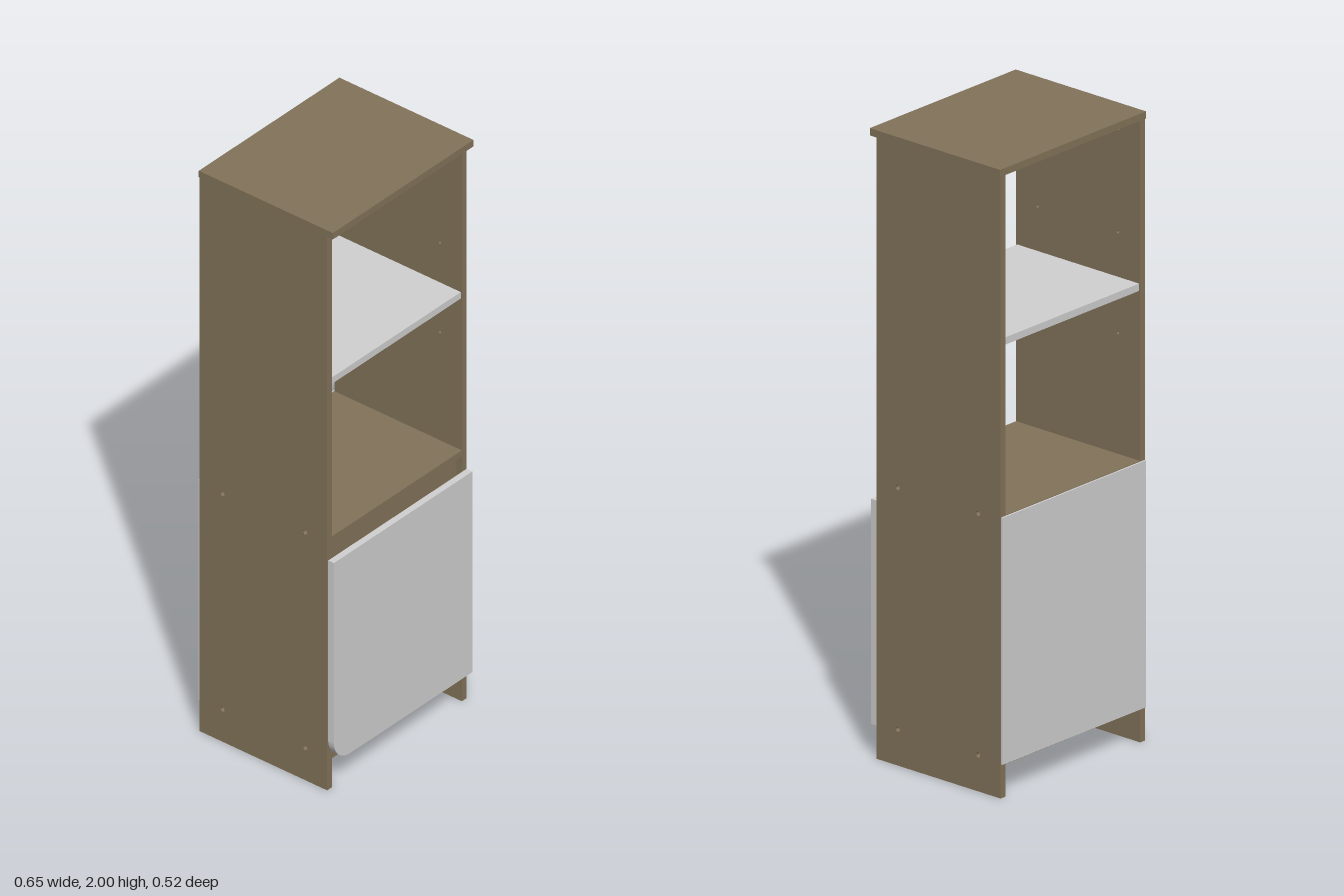
import * as THREE from 'three';

const wood = new THREE.MeshStandardMaterial({ color: 0x83745a });
wood.name = 'brown wood';
const grey = new THREE.MeshStandardMaterial({ color: 0xd0d0d0 });
grey.name = 'light grey';

const INNER = 0.3, OUTER = 0.322, BACK = -0.256, FRONT = 0.238, TOP = 1.977;

export function createModel() {
  const group = new THREE.Group();
  group.name = 'cabinet';

  const add = (name, geometry, material) => {
    const mesh = new THREE.Mesh(geometry, material);
    mesh.name = name;
    group.add(mesh);
  };

  // Board given by its limits on each axis
  const board = (name, material, [x0, x1], [y0, y1], [z0, z1]) => {
    const g = new THREE.BoxGeometry(x1 - x0, y1 - y0, z1 - z0);
    g.translate((x0 + x1) / 2, (y0 + y1) / 2, (z0 + z1) / 2);
    add(name, g, material);
  };

  // Side panel layer between two x limits, drilled with [z, y, radius] holes
  const drilled = (name, x0, x1, holes) => {
    const s = new THREE.Shape();
    s.moveTo(BACK, 0).lineTo(FRONT, 0).lineTo(FRONT, TOP).lineTo(BACK, TOP).closePath();
    for (const [z, y, r] of holes) {
      s.holes.push(new THREE.Path().absarc(z, y, r, 0, Math.PI * 2, true));
    }
    const g = new THREE.ExtrudeGeometry(s, { depth: x1 - x0, bevelEnabled: false, curveSegments: 8 });
    g.rotateY(-Math.PI / 2).translate(x1, 0, 0);
    add(name, g, wood);
  };

  // Screw holes go right through; pin and fitting holes open to the inside only
  const screws = [], pins = [];
  for (const z of [0.153, -0.167]) {
    for (const y of [0.115, 0.884]) screws.push([z, y, 0.008]);
    for (const y of [1.28, 1.6]) pins.push([z, y, 0.005]);
    pins.push([z, 1.935, 0.011]);
  }
  const mid = 0.311;
  drilled('leftSideOuter', mid, OUTER, screws);
  drilled('leftSideInner', INNER, mid, [...screws, ...pins]);
  drilled('rightSideOuter', -OUTER, -mid, screws);
  drilled('rightSideInner', -mid, -INNER, [...screws, ...pins]);

  // Carcass boards
  const inside = [-INNER, INNER], depth = [BACK, FRONT];
  board('top', wood, [-0.325, 0.325], [TOP, 2], [-0.257, 0.262]);
  board('middlePanel', wood, inside, [0.873, 0.895], depth);
  board('bottomPanel', wood, inside, [0.104, 0.126], depth);
  board('plinth', wood, inside, [0, 0.104], [0, 0.022]);
  board('frontRail', wood, inside, [0.76, 0.873], [0.195, 0.217]);
  board('shelf', grey, inside, [1.435, 1.458], [-0.252, 0.234]);
  board('backPanel', grey, [-0.32, 0.32], [0.108, 0.893], [-0.262, BACK]);

  // Door with one rounded lower corner
  const d = new THREE.Shape();
  const w = 0.32, y0 = 0.104, y1 = 0.82, r = 0.075;
  d.moveTo(-w + r, y0).lineTo(w, y0).lineTo(w, y1).lineTo(-w, y1).lineTo(-w, y0 + r);
  d.absarc(-w + r, y0 + r, r, Math.PI, Math.PI * 1.5, false);
  const door = new THREE.ExtrudeGeometry(d, { depth: 0.022, bevelEnabled: false, curveSegments: 10 });
  door.translate(0, 0, 0.24);
  add('door', door, grey);

  return group;
}
